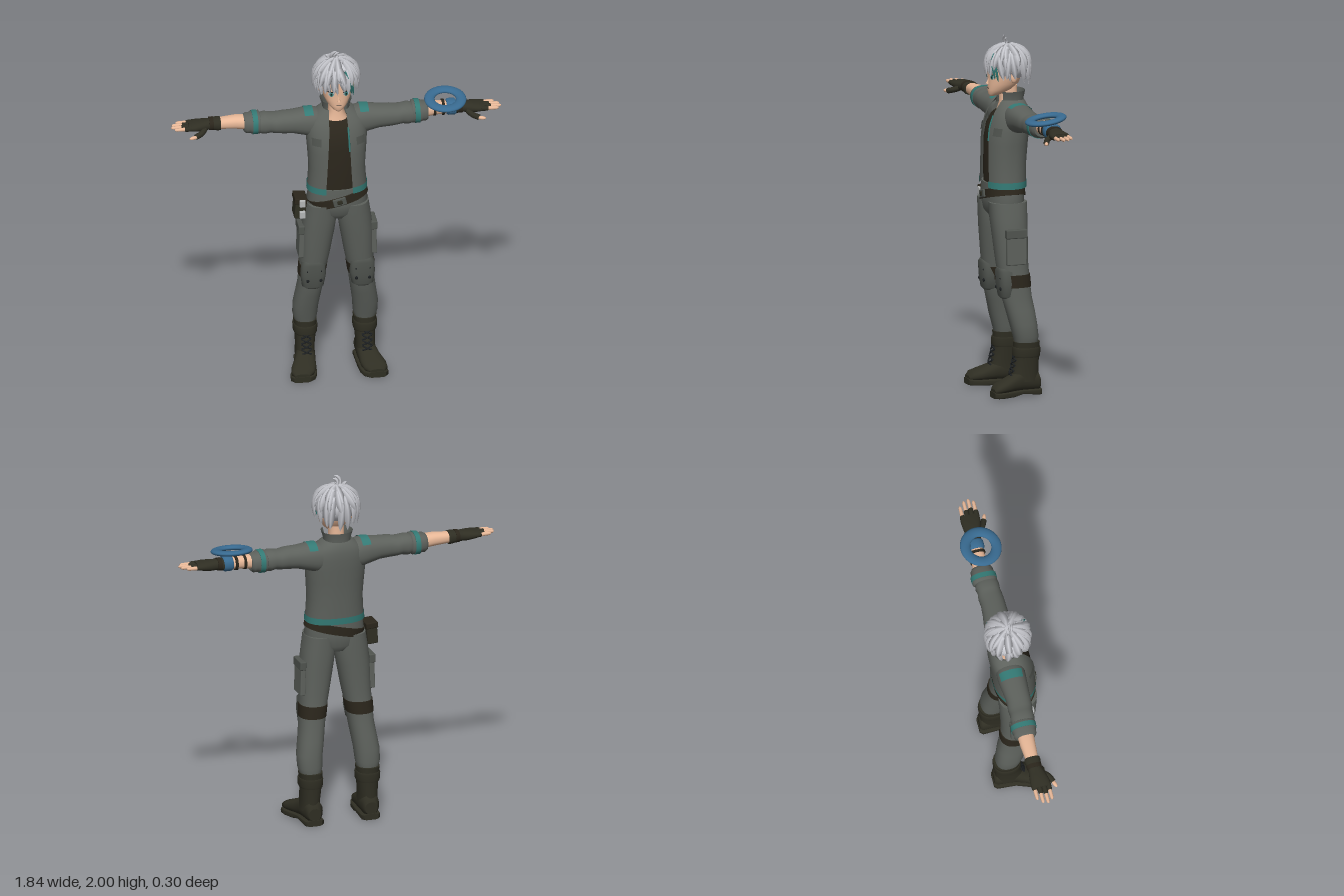
import * as THREE from 'three';
import { mergeGeometries } from 'three/addons/utils/BufferGeometryUtils.js';
import { RoundedBoxGeometry } from 'three/addons/geometries/RoundedBoxGeometry.js';

const paint = (name, color) => Object.assign(new THREE.MeshStandardMaterial({ color, side: THREE.DoubleSide }), { name });
const M = {
  cloth: paint('grey cloth', 0x5d615c), trim: paint('teal trim', 0x347a75), dark: paint('dark leather', 0x2f2e23),
  shirt: paint('black shirt', 0x2b261c), skin: paint('skin', 0xe8b898), hair: paint('silver hair', 0xc8c9cf),
  ring: paint('blue ring', 0x386a90), pad: paint('pad grey', 0x50544f), metal: paint('light metal', 0xb4b6b6), ink: paint('ink', 0x1d2022),
};

// Skins rounded cross-sections [t, aMin, aMax, bMin, bMax, gap] along an axis.
// Axis y: a = x, b = z. Axis x: a = z, b = y. Axis z: a = y, b = x. A gap opens the +b side.
function loft(axis, rings, { e = 2.3, n = 32, arc = null } = {}) {
  rings = [...rings].sort((p, q) => p[0] - q[0]);
  const pos = [], idx = [], open = arc || rings[0][5] !== undefined, cols = open ? n + 1 : n;
  const put = (a, t, b) => pos.push(...(axis === 'y' ? [a, t, b] : axis === 'x' ? [t, b, a] : [b, a, t]));
  const pw = (v) => Math.sign(v) * Math.abs(v) ** (2 / e);
  const ringOf = ([t, a0, a1, b0, b1, gap]) => {
    const ra = (a1 - a0) / 2, rb = (b1 - b0) / 2;
    const g = gap ? Math.asin((gap / ra) ** (e / 2)) : 0, [s, f] = arc || [g, 2 * Math.PI - g];
    for (let j = 0; j < cols; j++) {
      const u = s + (f - s) * j / n;
      put(a0 + ra + ra * pw(Math.sin(u)), t, b0 + rb + rb * pw(Math.cos(u)));
    }
  };
  rings.forEach(ringOf);
  for (let i = 0; i < rings.length - 1; i++) for (let j = 0; j < n; j++) {
    const k = (j + 1) % cols, p = i * cols, q = p + cols;
    idx.push(p + j, p + k, q + k, p + j, q + k, q + j);
  }
  if (!open) [rings[0], rings.at(-1)].forEach((r, top) => {
    const s = pos.length / 3;
    ringOf(r);
    put((r[1] + r[2]) / 2, r[0], (r[3] + r[4]) / 2);
    for (let j = 0; j < n; j++) { const k = (j + 1) % n; idx.push(s + n, s + (top ? j : k), s + (top ? k : j)); }
  });
  return finish(pos, idx);
}
function finish(pos, idx) {
  const g = new THREE.BufferGeometry();
  g.setAttribute('position', new THREE.Float32BufferAttribute(pos, 3));
  g.setIndex(idx);
  g.computeVertexNormals();
  return g;
}
const grow = (rings, d) => rings.map(([t, a, b, c, f, ...g]) => [t, a - d, b + d, c - d, f + d, ...g]);
const sym = (rings) => rings.map(([y, r, zb, zf, ...g]) => [y, -r, r, zb, zf, ...g]);
const at = (g, x, y, z, rx = 0, ry = 0, rz = 0) => g.rotateX(rx).rotateY(ry).rotateZ(rz).translate(x, y, z);
const box = (w, h, d, r = 0.006) => new RoundedBoxGeometry(w, h, d, 2, r);
const ball = (x, y, z) => new THREE.SphereGeometry(1, 20, 14).scale(x, y, z);
function cord(pts, r) {
  return new THREE.TubeGeometry(new THREE.CatmullRomCurve3(pts.map((p) => new THREE.Vector3(...p))), 16, r, 8);
}
function mirrored(g) {
  const m = g.clone().scale(-1, 1, 1);
  const old = m.index ? [...m.index.array] : [...Array(m.attributes.position.count).keys()];
  for (let i = 0; i < old.length; i += 3) [old[i], old[i + 1]] = [old[i + 1], old[i]];
  m.setIndex(old);
  return m;
}
// Tapered lock of hair through a list of points, ridged away from a centre.
function lock(pts, width, thick, centre) {
  const pos = [], idx = [], N = 8, curve = new THREE.CatmullRomCurve3(pts);
  for (let i = 0; i <= N; i++) {
    const t = i / N, p = curve.getPoint(t), out = p.clone().sub(centre).normalize();
    const side = curve.getTangent(t).cross(out).normalize(), s = (0.6 + 0.8 * t) * (1 - t ** 3) + 0.01;
    for (const [v, d] of [[side, width], [out, thick], [side, -width], [out, -thick]]) pos.push(...p.clone().addScaledVector(v, d * s).toArray());
    if (i) for (let j = 0; j < 4; j++) {
      const a = i * 4 - 4 + j, b = i * 4 - 4 + (j + 1) % 4;
      idx.push(a, a + 4, b, b, a + 4, b + 4);
    }
  }
  return finish(pos, idx);
}

export function createModel() {
  const model = new THREE.Group();
  const add = (name, geo, mat) => {
    const mesh = new THREE.Mesh(geo, mat);
    mesh.name = name;
    model.add(mesh);
  };
  const pair = (name, geo, mat) => { add(name + 'Left', geo, mat); add(name + 'Right', mirrored(geo), mat); };

  // Trousers
  const leg = [[0.29, 0.11, 0.225, -0.12, 0.005], [0.33, 0.1, 0.237, -0.125, 0.015], [0.4, 0.095, 0.238, -0.118, 0.035], [0.48, 0.083, 0.225, -0.108, 0.055],
    [0.55, 0.073, 0.215, -0.095, 0.073], [0.65, 0.06, 0.208, -0.085, 0.085], [0.75, 0.04, 0.203, -0.08, 0.1], [0.9, 0.014, 0.2, -0.082, 0.115], [1, 0, 0.187, -0.085, 0.125], [1.08, 0.01, 0.174, -0.085, 0.13]];
  pair('trouserLeg', loft('y', leg), M.cloth);
  add('hips', loft('y', sym([[0.985, 0.08, -0.06, 0.09], [1.02, 0.15, -0.082, 0.118], [1.08, 0.172, -0.086, 0.13], [1.18, 0.155, -0.085, 0.125]])), M.cloth);
  pair('cargoPocket', at(box(0.03, 0.19, 0.115), 0.202, 0.835, 0.012, 0, 0, 0.03), M.cloth);
  pair('pocketFlap', at(box(0.036, 0.05, 0.122), 0.203, 0.915, 0.012, 0, 0, 0.03), M.pad);

  // Knee pads with straps and studs
  pair('kneeStrap', loft('y', grow([[0.61, 0.066, 0.211, -0.089, 0.079], [0.68, 0.056, 0.207, -0.084, 0.089]], 0.004)), M.shirt);
  pair('kneePad', loft('y', [[0.545, 0.1, 0.18, 0, 0.078], [0.56, 0.078, 0.2, 0, 0.09], [0.63, 0.066, 0.208, 0, 0.1], [0.7, 0.07, 0.203, 0, 0.104], [0.718, 0.09, 0.185, 0, 0.098]], { e: 2.8 }), M.pad);
  for (const x of [0.1, 0.172]) for (const y of [0.605, 0.665]) pair('padStud', at(ball(0.009, 0.011, 0.006), x, y, 0.093), M.ink);

  // Boots
  pair('bootShaft', loft('y', [[0.08, 0.115, 0.225, -0.128, 0.035], [0.14, 0.115, 0.222, -0.127, 0.022], [0.22, 0.107, 0.225, -0.13, 0.01], [0.3, 0.102, 0.232, -0.134, 0.014]]), M.dark);
  pair('bootCuff', loft('y', [[0.215, 0.103, 0.23, -0.134, 0.016], [0.225, 0.1, 0.234, -0.136, 0.02], [0.26, 0.098, 0.236, -0.138, 0.02], [0.27, 0.101, 0.233, -0.135, 0.016]]), M.dark);
  const foot = [[-0.135, 0.03, 0.1, 0.13, 0.2], [-0.12, 0.02, 0.14, 0.115, 0.215], [-0.02, 0.02, 0.145, 0.115, 0.225], [0.03, 0.02, 0.118, 0.12, 0.24],
    [0.09, 0.02, 0.092, 0.125, 0.265], [0.13, 0.02, 0.076, 0.14, 0.268], [0.15, 0.025, 0.05, 0.17, 0.25]];
  pair('bootFoot', loft('z', foot), M.dark);
  pair('bootSole', loft('z', foot.map(([z, , , a, b], i) => [z * 1.03, i === 2 ? 0.012 : 0, 0.034, a - 0.005, b + 0.005]), { e: 6 }), M.dark);
  for (let i = 0; i < 4; i++) for (const s of [-1, 1]) {
    const y = 0.11 + i * 0.03, z = 0.04 - i * 0.007;
    pair('lace', cord([[0.17 - s * 0.028, y, z - 0.008], [0.17, y + 0.014, z], [0.17 + s * 0.028, y + 0.028, z - 0.012]], 0.0045), M.ink);
  }

  // Belt and hip pouch
  add('belt', at(loft('y', sym([[-0.024, 0.172, -0.095, 0.137], [0.024, 0.17, -0.095, 0.137]])), 0, 1.112, 0, 0, 0, 0.24), M.shirt);
  add('buckle', at(box(0.075, 0.046, 0.014), 0, 1.115, 0.138, 0, 0, 0.24), M.pad);
  add('buckleBar', at(box(0.03, 0.026, 0.012), 0, 1.115, 0.143, 0, 0, 0.24), M.dark);
  add('pouch', at(box(0.062, 0.115, 0.1), -0.21, 1.05, 0.025, 0, 0, -0.08), M.dark);
  add('pouchLid', at(box(0.07, 0.035, 0.108), -0.208, 1.1, 0.025, 0, 0, -0.08), M.shirt);
  for (const y of [1.02, 1.09]) add('pouchClip', at(box(0.034, 0.045, 0.02), -0.2, y, 0.08), M.metal);

  // Shirt and jacket body
  add('shirt', loft('y', sym([[1.13, 0.14, -0.08, 0.115], [1.25, 0.14, -0.085, 0.118], [1.42, 0.145, -0.09, 0.115], [1.5, 0.14, -0.09, 0.1], [1.55, 0.12, -0.08, 0.076], [1.58, 0.07, -0.06, 0.056]])), M.shirt);
  const jacket = sym([[1.16, 0.165, -0.098, 0.135, 0.075], [1.2, 0.163, -0.1, 0.135, 0.073], [1.3, 0.157, -0.103, 0.133, 0.067], [1.4, 0.164, -0.11, 0.131, 0.062], [1.48, 0.17, -0.118, 0.122, 0.057],
    [1.54, 0.168, -0.121, 0.105, 0.053], [1.58, 0.155, -0.12, 0.088, 0.052], [1.61, 0.125, -0.114, 0.07, 0.05], [1.635, 0.09, -0.102, 0.055, 0.048], [1.645, 0.07, -0.09, 0.05, 0.046]]);
  add('jacket', loft('y', jacket, { n: 48 }), M.cloth);
  add('jacketHem', loft('y', grow([[1.158, ...jacket[0].slice(1)], [1.195, ...jacket[1].slice(1)]], 0.004), { n: 48 }), M.trim);
  add('collar', loft('y', sym([[1.615, 0.078, -0.1, 0.055, 0.05], [1.65, 0.075, -0.098, 0.05, 0.052], [1.692, 0.088, -0.106, 0.058, 0.06]])), M.cloth);
  pair('chestPocketFlap', loft('y', grow([[1.455, -0.169, 0.169, -0.115, 0.126], [1.5, -0.17, 0.17, -0.119, 0.117]], 0.004), { arc: [0.55, 0.98], n: 10 }), M.pad);
  add('zipTrim', cord([[0.058, 1.42, 0.124], [0.055, 1.5, 0.114], [0.053, 1.56, 0.094]], 0.005), M.trim);

  // Sleeves
  const sleeve = [[0.09, -0.1, 0.05, 1.47, 1.622], [0.13, -0.105, 0.055, 1.465, 1.634], [0.18, -0.102, 0.052, 1.48, 1.632], [0.24, -0.094, 0.048, 1.496, 1.624], [0.3, -0.09, 0.046, 1.5, 1.622],
    [0.34, -0.094, 0.043, 1.504, 1.615], [0.37, -0.09, 0.038, 1.508, 1.618], [0.4, -0.096, 0.04, 1.502, 1.622], [0.43, -0.09, 0.034, 1.508, 1.615]];
  pair('sleeve', loft('x', sleeve), M.cloth);
  pair('shoulderPatch', loft('x', grow(sleeve.slice(1, 3), 0.003), { arc: [-0.95, 0.75], n: 14 }), M.trim);
  pair('sleeveCuff', loft('x', [[0.42, -0.09, 0.03, 1.515, 1.61], [0.428, -0.104, 0.036, 1.503, 1.626], [0.47, -0.104, 0.034, 1.504, 1.624], [0.485, -0.098, 0.028, 1.51, 1.617], [0.5, -0.1, 0.028, 1.508, 1.618], [0.515, -0.088, 0.018, 1.518, 1.61]]), M.cloth);
  pair('cuffTrim', loft('x', [[0.44, -0.107, 0.038, 1.501, 1.629], [0.468, -0.107, 0.037, 1.501, 1.627]]), M.trim);

  // Forearms, fingerless gloves and hands
  pair('forearm', loft('x', [[0.48, -0.082, 0.012, 1.528, 1.608], [0.56, -0.08, 0.006, 1.537, 1.612], [0.68, -0.068, -0.002, 1.545, 1.602]]), M.skin);
  pair('glove', loft('x', [[0.645, -0.078, 0.008, 1.537, 1.608], [0.66, -0.08, 0.01, 1.536, 1.61], [0.71, -0.07, 0.004, 1.545, 1.604], [0.75, -0.076, 0.02, 1.544, 1.603], [0.79, -0.08, 0.03, 1.55, 1.6], [0.825, -0.078, 0.03, 1.558, 1.594]]), M.dark);
  pair('gloveStrap', loft('x', [[0.685, -0.078, 0.008, 1.54, 1.61], [0.708, -0.076, 0.008, 1.541, 1.609]]), M.shirt);
  [[0.017, 0.905], [-0.009, 0.922], [-0.036, 0.915], [-0.063, 0.89]].forEach(([z, tip]) => {
    const tube = (x0, x1, r, r1) => loft('x', [[x0, z - r, z + r, 1.576 - r, 1.576 + r], [x1 - 0.01, z - r1, z + r1, 1.576 - r1, 1.576 + r1], [x1, z - r1 * 0.5, z + r1 * 0.5, 1.576 - r1 * 0.5, 1.576 + r1 * 0.5]], { e: 2, n: 12 });
    pair('gloveFinger', tube(0.81, tip - 0.05, 0.0145, 0.0135), M.dark);
    pair('finger', tube(0.82, tip, 0.0115, 0.0095), M.skin);
  });
  pair('gloveThumb', cord([[0.735, 1.562, 0.005], [0.76, 1.55, 0.034], [0.793, 1.54, 0.05]], 0.016), M.dark);
  pair('thumb', at(ball(0.026, 0.01, 0.011), 0.805, 1.538, 0.054, 0, -0.35), M.skin);

  // Floating ring and bracelets on the left wrist
  add('haloRing', at(new THREE.TorusGeometry(0.088, 0.029, 16, 56).scale(1, 1, 0.5), 0.612, 1.636, -0.012, Math.PI / 2 + 0.16), M.ring);
  for (const x of [0.545, 0.595]) add('bracelet', loft('x', [[x, -0.086, 0.011, 1.532, 1.616], [x + 0.014, -0.085, 0.01, 1.533, 1.616]]), M.shirt);
  add('wristDevice', loft('x', [[0.62, -0.076, 0.006, 1.537, 1.612], [0.63, -0.084, 0.014, 1.532, 1.62], [0.665, -0.084, 0.014, 1.532, 1.62], [0.675, -0.076, 0.006, 1.537, 1.612]]), M.ring);

  // Neck and head
  add('neck', loft('y', sym([[1.54, 0.08, -0.07, 0.055], [1.59, 0.055, -0.068, 0.048], [1.63, 0.042, -0.062, 0.036], [1.72, 0.042, -0.062, 0.036]])), M.skin);
  add('head', loft('y', sym([[1.664, 0.014, 0.06, 0.093], [1.676, 0.034, 0.02, 0.102], [1.7, 0.057, -0.03, 0.105], [1.735, 0.076, -0.07, 0.104], [1.78, 0.087, -0.09, 0.103], [1.83, 0.091, -0.1, 0.105], [1.88, 0.085, -0.095, 0.097], [1.92, 0.06, -0.07, 0.07]]), { e: 2.1 }), M.skin);
  add('nose', at(new THREE.ConeGeometry(0.009, 0.032, 8).scale(1, 1, 1.2), 0, 1.748, 0.105, -0.2), M.skin);
  add('mouth', at(box(0.026, 0.003, 0.004, 0.001), 0, 1.709, 0.105), M.ink);
  pair('ear', at(ball(0.012, 0.028, 0.018), 0.09, 1.772, -0.015), M.skin);
  const eyeDisc = (w, h) => new THREE.CylinderGeometry(1, 1, 0.004, 20).rotateX(Math.PI / 2).scale(w, h, 1);
  pair('eyeWhite', at(eyeDisc(0.019, 0.013), 0.042, 1.775, 0.094, 0, 0.38), M.metal);
  pair('iris', at(eyeDisc(0.011, 0.013), 0.041, 1.775, 0.0965, 0, 0.38), M.trim);
  pair('pupil', at(eyeDisc(0.004, 0.006), 0.0415, 1.775, 0.0985, 0, 0.38), M.ink);
  pair('lash', at(box(0.042, 0.005, 0.006, 0.002), 0.043, 1.789, 0.095, 0, 0.38, 0.1), M.ink);

  // Hair: skull cap plus layered locks
  const C = new THREE.Vector3(0, 1.845, -0.012), R = [0.122, 0.102, 0.122];
  const cap = (...arc) => new THREE.SphereGeometry(1, 32, 20, ...arc).scale(...R).translate(...C.toArray());
  add('hairCap', cap(0, Math.PI * 2, 0, Math.PI / 2), M.hair);
  add('hairBack', cap(Math.PI * 0.97, Math.PI * 1.06, Math.PI / 2, Math.PI / 2), M.hair);
  const strand = (az, th0, th1, w, swirl = 0.25, flare = 0.014) => {
    const pts = [];
    for (let i = 0; i <= 5; i++) {
      const t = i / 5, th = th0 + (th1 - th0) * t, over = Math.max(0, th - Math.PI / 2), a = az + swirl * (t - 0.5);
      const h = (over ? 1 - 0.13 * over * over : Math.sin(th)) + 0.02 + flare * 8 * t * t * t, v = over ? -over : Math.cos(th) * 1.03;
      pts.push(new THREE.Vector3(C.x + R[0] * h * Math.sin(a), C.y + R[1] * v, C.z + R[2] * h * Math.cos(a)));
    }
    return lock(pts, w, 0.011, C);
  };
  let seed = 7;
  const rnd = () => (seed = (seed * 16807) % 2147483647) / 2147483647;
  const locks = [];
  for (const [count, th0, th1, w] of [[9, 0.1, 1.2, 0.026], [13, 0.45, 1.65, 0.027], [17, 0.9, 0, 0.024]]) for (let i = 0; i < count; i++) {
    const az = (i + 0.5 * rnd()) / count * Math.PI * 2, back = (1 - Math.cos(az)) / 2;
    const end = (th1 || 2.05 + 0.6 * back) + 0.2 * rnd();
    locks.push(strand(az, th0, end, w, 0.5 * (rnd() - 0.3), 0.006 + 0.012 * rnd()));
  }
  for (const [az, end] of [[-0.95, 2.35], [-0.55, 2.2], [-0.2, 2.3], [0.1, 2.15], [0.85, 2.3], [1.2, 2.45], [-1.25, 2.45]]) locks.push(strand(az, 0.5, end, 0.018, 0.3, 0.002));
  const up = (...p) => lock(p.map((v) => new THREE.Vector3(...v)), 0.011, 0.008, new THREE.Vector3(0, 1.95, -1));
  locks.push(up([-0.02, 1.935, -0.01], [-0.03, 1.965, 0], [-0.018, 1.988, 0.006], [0.004, 2, 0.01]), up([0, 1.935, -0.01], [-0.012, 1.96, -0.005], [-0.004, 1.978, 0], [0.018, 1.985, 0]),
    up([-0.03, 1.93, -0.02], [-0.045, 1.955, -0.02], [-0.06, 1.968, -0.018]));
  add('hairLocks', mergeGeometries(locks), M.hair);
  add('tealStreak', mergeGeometries([strand(0.5, 0.95, 2.35, 0.013, 0.25, 0.01), strand(0.68, 1.2, 2.5, 0.01, 0.2, 0.01)]), M.trim);

  return model;
}
